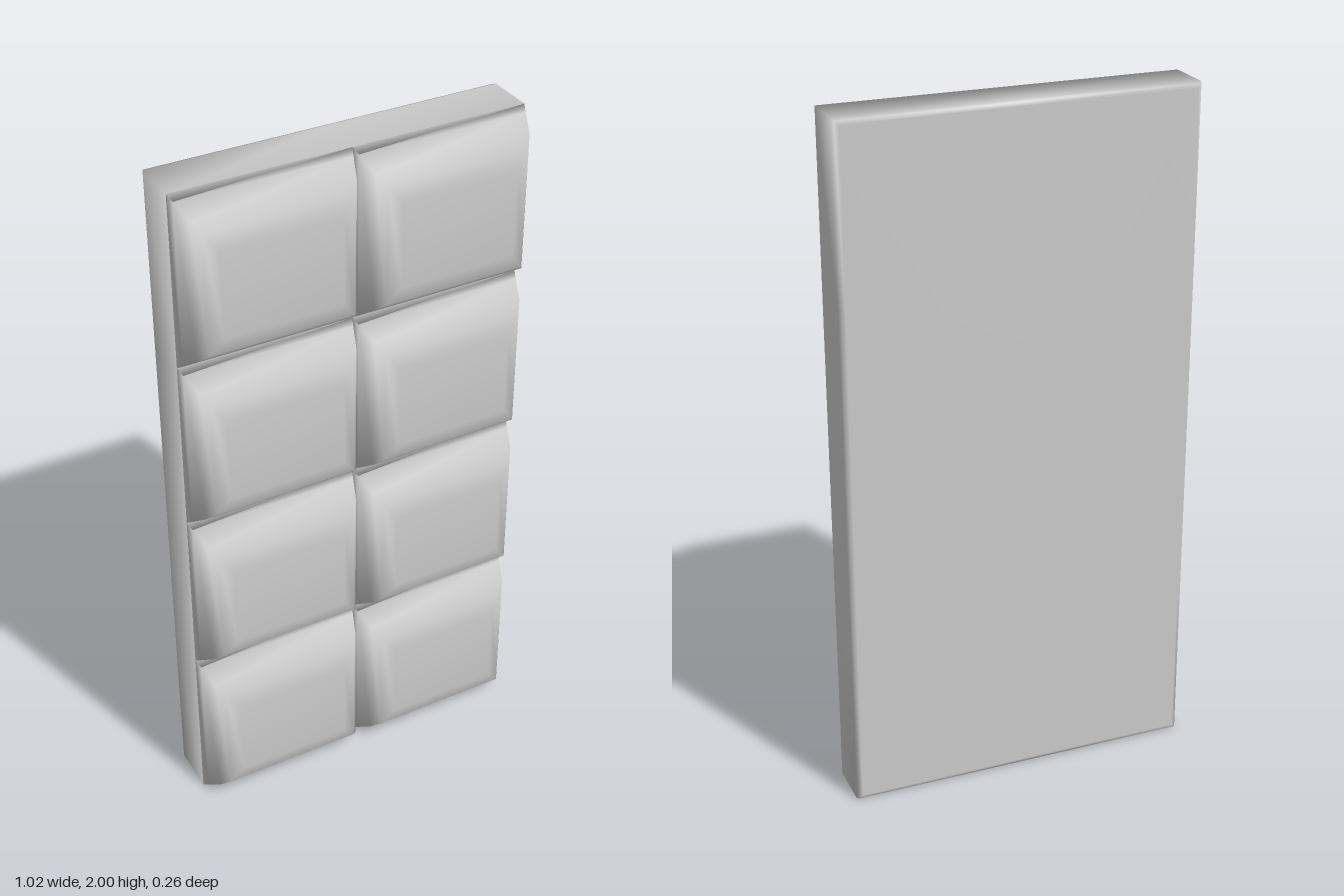
import * as THREE from 'three';

const WIDTH = 1.02, HEIGHT = 2, COLS = 2, ROWS = 4;

// Smooth closed solid through rectangular rings [insetX, insetY, z], listed back to front.
// Each side of a ring is split into nx or ny segments.
function loftRects(width, height, rings, nx, ny) {
  const positions = [], index = [];
  const n = 2 * (nx + ny);
  for (const [ix, iy, z] of rings) {
    const hx = width / 2 - ix, hy = height / 2 - iy;
    for (let i = 0; i < nx; i++) positions.push(-hx + (2 * hx * i) / nx, -hy, z);
    for (let i = 0; i < ny; i++) positions.push(hx, -hy + (2 * hy * i) / ny, z);
    for (let i = 0; i < nx; i++) positions.push(hx - (2 * hx * i) / nx, hy, z);
    for (let i = 0; i < ny; i++) positions.push(-hx, hy - (2 * hy * i) / ny, z);
  }
  const last = rings.length - 1;
  const backCentre = positions.length / 3, frontCentre = backCentre + 1;
  positions.push(0, 0, rings[0][2], 0, 0, rings[last][2]);
  for (let j = 0; j < n; j++) {
    const k = (j + 1) % n;
    for (let r = 0; r < last; r++) {
      const a = r * n + j, b = r * n + k;
      index.push(a, b, b + n, a, b + n, a + n);
    }
    index.push(backCentre, k, j, frontCentre, last * n + j, last * n + k);
  }
  const geometry = new THREE.BufferGeometry();
  geometry.setAttribute('position', new THREE.Float32BufferAttribute(positions, 3));
  geometry.setIndex(index);
  geometry.computeVertexNormals();
  return geometry;
}

export function createModel() {
  const model = new THREE.Group();
  model.name = 'segmentedBar';
  const material = new THREE.MeshStandardMaterial({ color: 0xcccccc });

  // Slab with a softened back edge
  const slab = new THREE.Mesh(loftRects(WIDTH, HEIGHT, [
    [0.015, 0.015, -0.132],
    [0.004, 0.004, -0.128],
    [0, 0, -0.117],
    [0, 0, 0.02],
  ], COLS, ROWS), material);
  slab.name = 'slab';
  model.add(slab);

  // Raised pieces with sloping, rounded shoulders
  const cellW = WIDTH / COLS, cellH = HEIGHT / ROWS;
  const pieceGeometry = loftRects(cellW, cellH, [
    [0, 0, 0.02],
    [0.008, 0.014, 0.04],
    [0.026, 0.05, 0.09],
    [0.047, 0.077, 0.119],
    [0.085, 0.125, 0.132],
  ], 1, 1);
  const pieces = new THREE.Group();
  pieces.name = 'pieces';
  for (let row = 0; row < ROWS; row++) {
    for (let col = 0; col < COLS; col++) {
      const piece = new THREE.Mesh(pieceGeometry, material);
      piece.name = `piece_${row + 1}_${col + 1}`;
      piece.position.set((col + 0.5) * cellW - WIDTH / 2, (row + 0.5) * cellH - HEIGHT / 2, 0);
      pieces.add(piece);
    }
  }
  model.add(pieces);

  // Stand the bar on the ground
  slab.position.y = pieces.position.y = HEIGHT / 2;
  return model;
}
